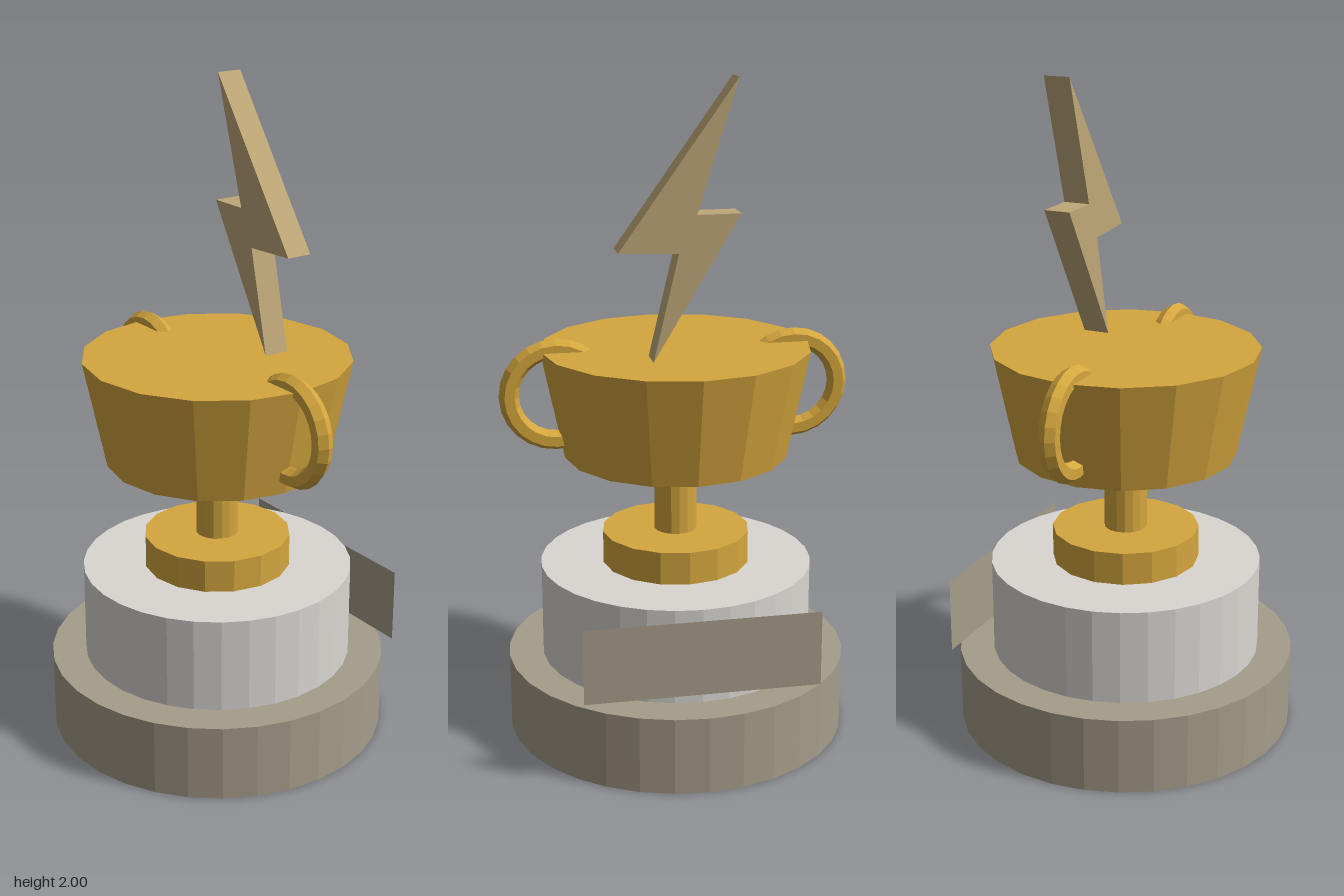
import * as THREE from 'three';

const flat = (name, color, extra = {}) => {
  const m = new THREE.MeshStandardMaterial({ color, flatShading: true, ...extra });
  m.name = name;
  return m;
};

export function createModel() {
  const gold = flat('gold', 0xd4a63e);
  const stone = flat('warm grey stone', 0xa69d8a);
  const plaqueStone = flat('plaque stone', 0xa69d8a, { side: THREE.DoubleSide });
  const silver = flat('pale silver', 0xdad7d2);
  const paleGold = flat('pale gold', 0xbfa878);

  const group = new THREE.Group();
  group.name = 'trophy';
  const add = (name, geometry, material, x = 0, y = 0, z = 0) => {
    const mesh = new THREE.Mesh(geometry, material);
    mesh.name = name;
    mesh.position.set(x, y, z);
    group.add(mesh);
    return mesh;
  };

  // Stacked round parts: name, top radius, bottom radius, y from, y to, sides
  const tiers = [
    ['lowerBase', 0.52, 0.52, 0, 0.235, 32, stone],
    ['upperBase', 0.415, 0.415, 0.235, 0.525, 32, silver],
    ['foot', 0.225, 0.225, 0.525, 0.625, 16, gold],
    ['stem', 0.065, 0.065, 0.625, 0.87, 16, gold],
    ['cup', 0.405, 0.337, 0.87, 1.2, 16, gold],
  ];
  for (const [name, rTop, rBottom, y0, y1, sides, material] of tiers) {
    add(name, new THREE.CylinderGeometry(rTop, rBottom, y1 - y0, sides), material, 0, (y0 + y1) / 2);
  }

  // Ring handles, half sunk into the cup
  for (const side of [-1, 1]) {
    add(side > 0 ? 'leftHandle' : 'rightHandle',
      new THREE.TorusGeometry(0.14, 0.03, 6, 24), gold, side * 0.36, 1.068, 0);
  }

  // Lightning bolt standing on the cup
  const outline = [
    [-0.143, 2], [-0.026, 1.622], [-0.153, 1.622],
    [0.1, 1.2], [0.026, 1.513], [0.2, 1.52],
  ].map(([x, y]) => new THREE.Vector2(x, y));
  add('bolt', new THREE.ExtrudeGeometry(new THREE.Shape(outline), { depth: 0.08, bevelEnabled: false }),
    paleGold, 0, 0, -0.185);

  // Flat plaque behind the upper base
  const plaque = add('plaque', new THREE.PlaneGeometry(0.7, 0.23), plaqueStone, 0, 0.38, -0.427);
  plaque.rotation.y = Math.PI;

  return group;
}
